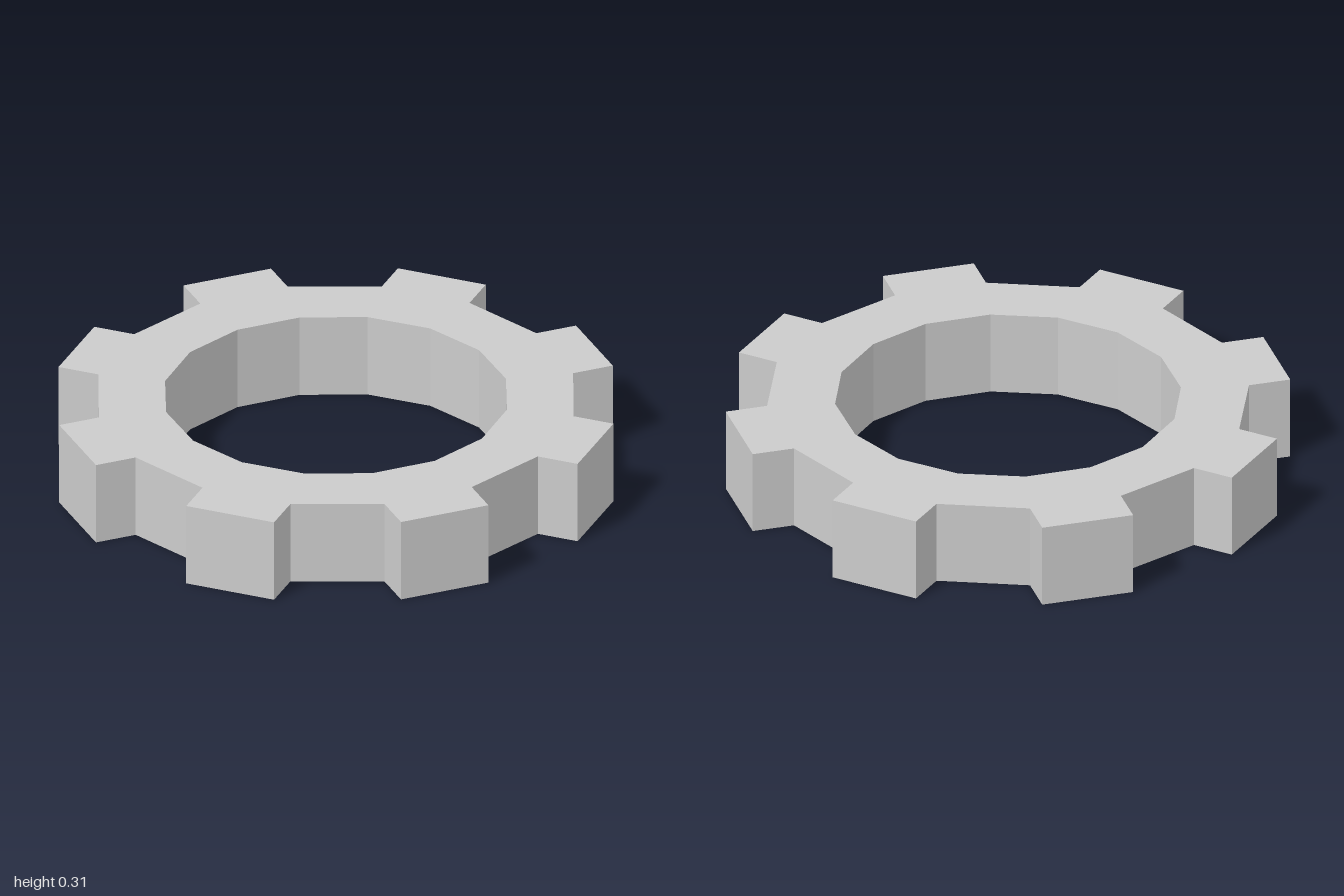
import * as THREE from 'three';

const TEETH = 8;
const HEIGHT = 0.31;
const OUTER = 1.0127, ROOT = 0.862, BORE = 0.619;

// Point in the ground plane (x, z); angle in degrees, measured from -z towards +x
function polar(radius, degrees) {
  const a = THREE.MathUtils.degToRad(degrees);
  return new THREE.Vector2(radius * Math.sin(a), -radius * Math.cos(a));
}

export function createModel() {
  const group = new THREE.Group();
  group.name = 'gear';

  // Toothed outline: root, tip, tip, root for every tooth
  const outline = [];
  for (let i = 0; i < TEETH; i++) {
    const mid = 18.7 + (i * 360) / TEETH;
    outline.push(
      polar(ROOT, mid - 11.3), polar(OUTER, mid - 9.6),
      polar(OUTER, mid + 9.6), polar(ROOT, mid + 11.3)
    );
  }
  const shape = new THREE.Shape(outline);

  // Sixteen-sided bore
  const bore = [];
  for (let i = 0; i < 2 * TEETH; i++) bore.push(polar(BORE, 6.9 + i * 22.5));
  shape.holes.push(new THREE.Path(bore));

  // Extrude and lay flat on the ground
  const geometry = new THREE.ExtrudeGeometry(shape, { depth: HEIGHT, bevelEnabled: false });
  geometry.rotateX(Math.PI / 2);
  geometry.translate(0, HEIGHT, 0);

  const material = new THREE.MeshStandardMaterial({ color: 0xcccccc, flatShading: true });
  const ring = new THREE.Mesh(geometry, material);
  ring.name = 'toothedRing';
  group.add(ring);
  return group;
}
